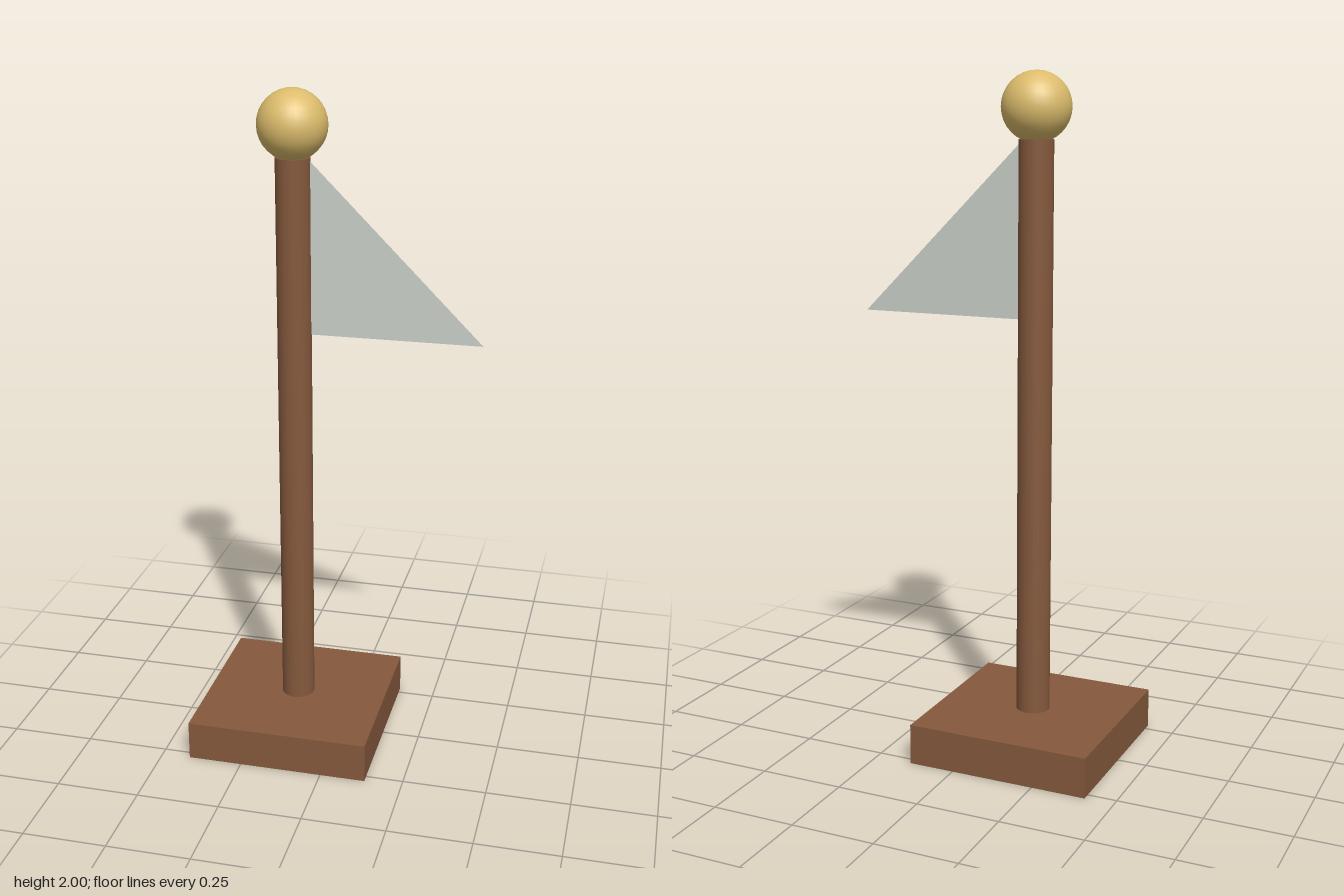
import * as THREE from 'three';

export function createModel() {
  const wood = new THREE.MeshStandardMaterial({ color: 0x85593d });
  wood.name = 'wood brown';
  const gold = new THREE.MeshStandardMaterial({ color: 0xdcbc6c });
  gold.name = 'pale gold';
  const cloth = new THREE.MeshStandardMaterial({ color: 0xccd1c9, side: THREE.DoubleSide });
  cloth.name = 'grey cloth';

  const model = new THREE.Group();
  model.name = 'flagpole';
  const poleX = -0.138;
  const poleRadius = 0.05;

  function add(name, geometry, material, x, y) {
    const mesh = new THREE.Mesh(geometry, material);
    mesh.name = name;
    mesh.position.set(x, y, 0);
    model.add(mesh);
  }

  // Square plinth
  add('base', new THREE.BoxGeometry(0.55, 0.12, 0.55), wood, poleX, 0.06);

  // Pole, from the plinth up into the ball
  add('pole', new THREE.CylinderGeometry(poleRadius, poleRadius, 1.7, 32), wood, poleX, 0.96);

  // Ball on top
  add('finial', new THREE.SphereGeometry(0.1, 32, 16), gold, poleX, 1.9);

  // Triangular pennant, a single flat sheet
  const pennant = new THREE.Shape([
    new THREE.Vector2(0, 0),
    new THREE.Vector2(0.5, 0),
    new THREE.Vector2(0, 0.5),
  ]);
  add('flag', new THREE.ShapeGeometry(pennant), cloth, poleX + poleRadius, 1.3);

  return model;
}
